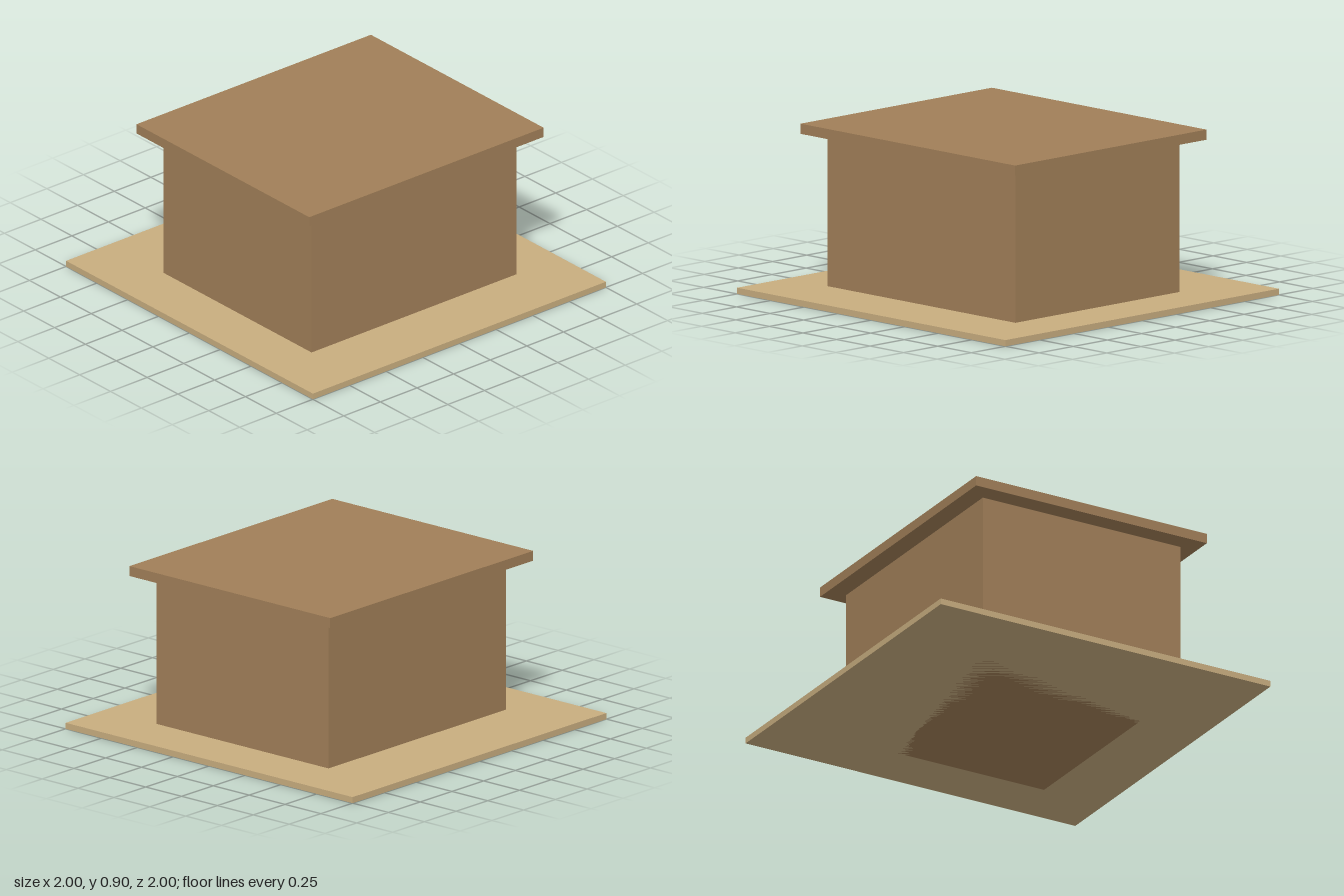
import * as THREE from 'three';

export function createModel() {
  const group = new THREE.Group();
  const sand = new THREE.MeshStandardMaterial({ color: 0xc8ad7f });
  const wood = new THREE.MeshStandardMaterial({ color: 0xa17f58 });

  // Box resting between two heights, shifted along z
  const addBox = (name, material, width, depth, bottom, top, z = 0) => {
    const mesh = new THREE.Mesh(new THREE.BoxGeometry(width, top - bottom, depth), material);
    mesh.name = name;
    mesh.position.set(0, (bottom + top) / 2, z);
    group.add(mesh);
  };

  // Ground slab, walls sunk through it, and an overhanging flat roof just above the walls
  addBox('groundSlab', sand, 2, 2, 0, 0.033);
  addBox('walls', wood, 1.4, 1.2, 0, 0.837, 0.033);
  addBox('flatRoof', wood, 1.6, 1.4, 0.843, 0.897, 0.033);

  return group;
}
